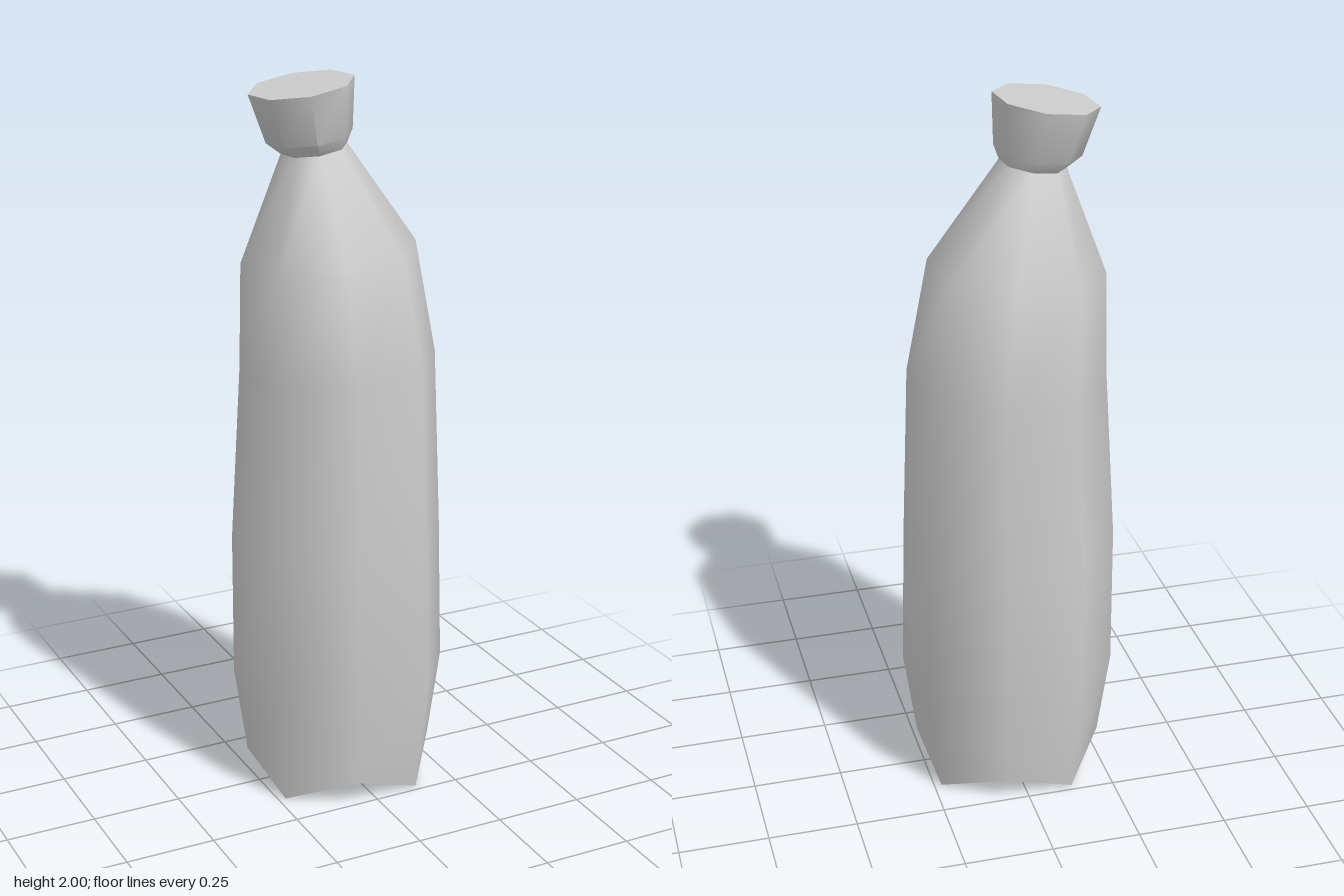
import * as THREE from 'three';
import { toCreasedNormals } from 'three/addons/utils/BufferGeometryUtils.js';

const SIDES = 8;
const TURN = THREE.MathUtils.degToRad(15);

// Skin octagonal rings [centreX, centreY, radius, tilt, zigzag], bottom to top.
function skin(rings, closeBottom, closeTop) {
  const pos = [], index = [];
  for (const [cx, cy, r, tilt = 0, zigzag = 0] of rings) {
    for (let k = 0; k < SIDES; k++) {
      const a = TURN + (k / SIDES) * Math.PI * 2;
      const dx = r * Math.cos(a);
      pos.push(cx + dx, cy + tilt * dx + (k % 2 ? -zigzag : zigzag), r * Math.sin(a));
    }
  }
  for (let i = 0; i < rings.length - 1; i++) {
    for (let k = 0; k < SIDES; k++) {
      const a = i * SIDES + k, b = i * SIDES + (k + 1) % SIDES;
      index.push(a, a + SIDES, b, b, a + SIDES, b + SIDES);
    }
  }
  // End faces fan out from the ring centre
  const close = (i, up) => {
    const c = pos.length / 3;
    pos.push(rings[i][0], rings[i][1], 0);
    for (let k = 0; k < SIDES; k++) {
      const a = i * SIDES + k, b = i * SIDES + (k + 1) % SIDES;
      index.push(c, up ? b : a, up ? a : b);
    }
  };
  if (closeBottom) close(0, false);
  if (closeTop) close(rings.length - 1, true);

  const geo = new THREE.BufferGeometry();
  geo.setAttribute('position', new THREE.Float32BufferAttribute(pos, 3));
  geo.setIndex(index);
  return toCreasedNormals(geo, THREE.MathUtils.degToRad(50));
}

export function createModel() {
  const group = new THREE.Group();
  group.name = 'bottle';
  const material = new THREE.MeshStandardMaterial({ color: 0xcccccc, side: THREE.DoubleSide });
  const add = (name, geo) => {
    const mesh = new THREE.Mesh(geo, material);
    mesh.name = name;
    group.add(mesh);
  };

  const neck = [-0.07, 1.812, 0.088, 0.14];

  // Body with lobed foot and a shoulder leaning towards -x
  add('body', skin([
    [0, 0.035, 0.265, 0, 0.035],
    [0, 0.32, 0.3],
    [-0.005, 0.73, 0.294],
    [0, 1.225, 0.27, 0.03],
    [-0.028, 1.53, 0.237, 0.09],
    neck,
  ], true, false));

  // Flared, tilted cap
  add('cap', skin([
    neck,
    [-0.083, 1.846, 0.115, 0.14],
    [-0.105, 1.98, 0.14, 0.15],
  ], false, true));

  return group;
}
